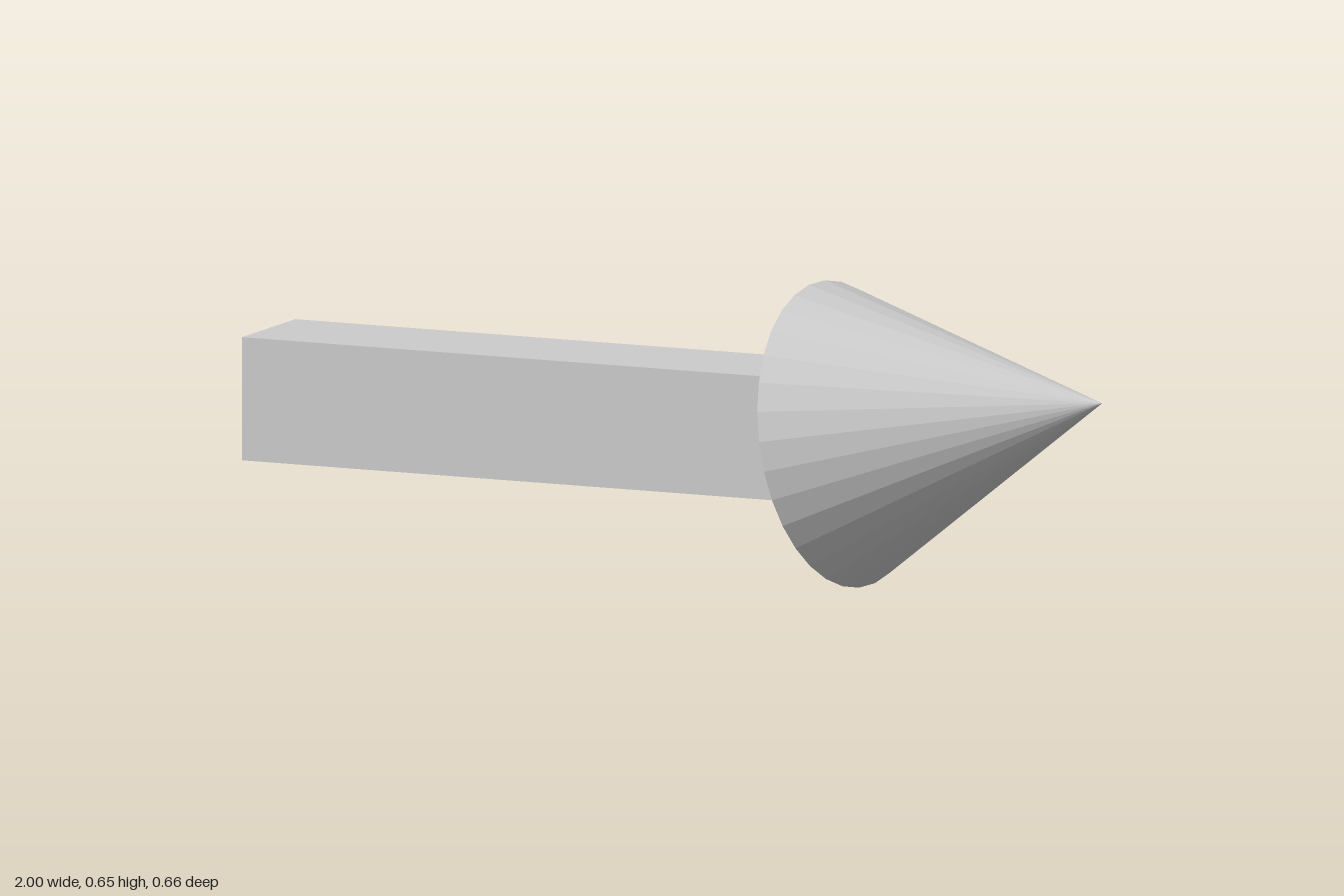
import * as THREE from 'three';

export function createModel() {
  const group = new THREE.Group();
  const material = new THREE.MeshStandardMaterial({ color: 0xcccccc, flatShading: true });

  // Square shaft, running a little way into the head
  const start = -1, end = 0.42, thickness = 0.267;
  const shaft = new THREE.Mesh(new THREE.BoxGeometry(end - start, thickness, thickness), material);
  shaft.name = 'shaft';
  shaft.position.set((start + end) / 2, 0.333, 0.015);
  group.add(shaft);

  // Faceted cone head, tilted slightly up and forward
  const base = new THREE.Vector3(0.35, 0.328, 0);
  const tip = new THREE.Vector3(1, 0.45, 0.073);
  const axis = tip.clone().sub(base);
  const head = new THREE.Mesh(new THREE.ConeGeometry(0.331, axis.length(), 32), material);
  head.name = 'arrowHead';
  head.position.copy(base).add(tip).multiplyScalar(0.5);
  head.quaternion.setFromUnitVectors(new THREE.Vector3(0, 1, 0), axis.normalize());
  group.add(head);

  return group;
}
